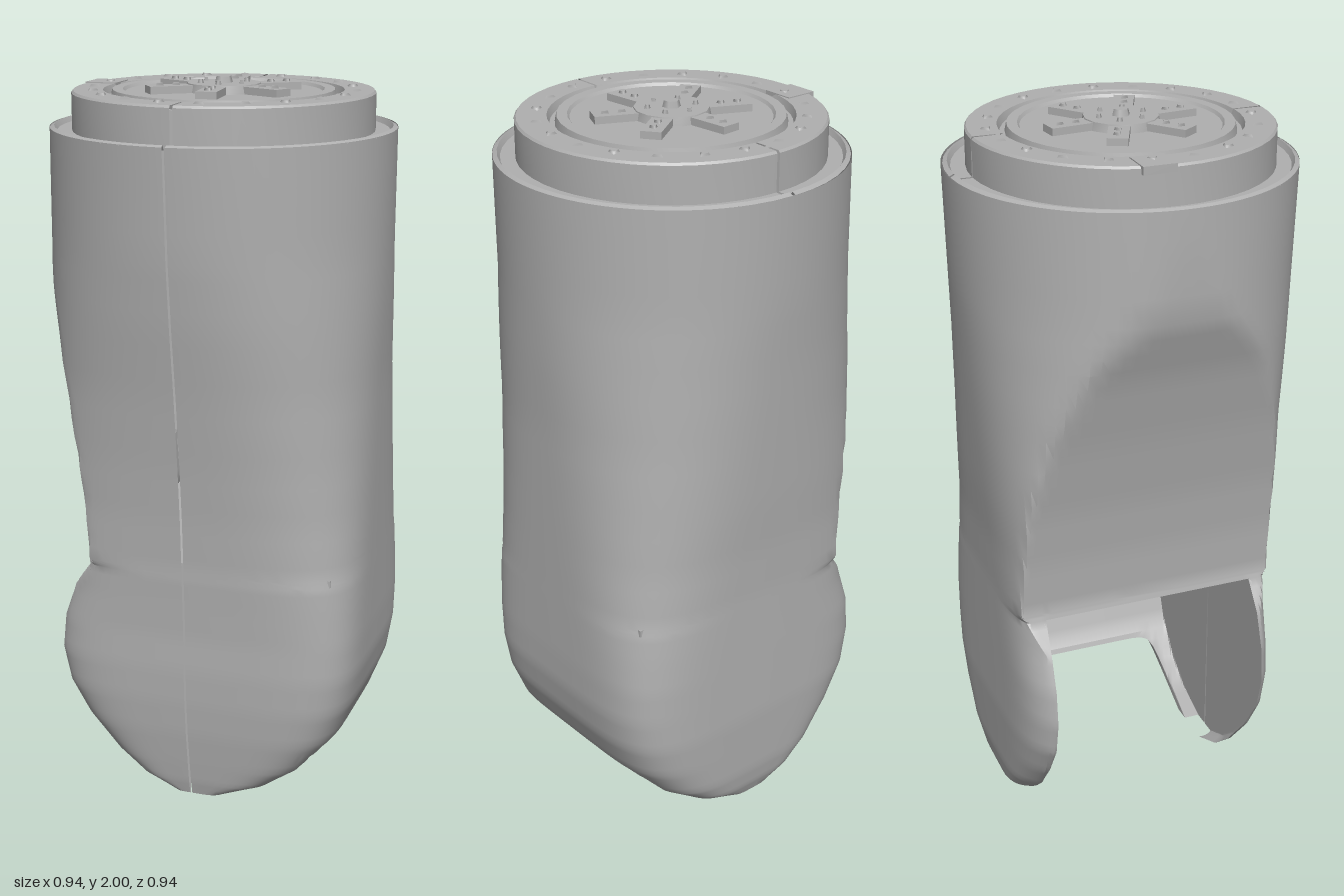
import * as THREE from 'three';
import { toCreasedNormals } from 'three/addons/utils/BufferGeometryUtils.js';

const grey = new THREE.MeshStandardMaterial({ color: 0xb0b0b0, side: THREE.DoubleSide });
grey.name = 'plain grey';

// Cross-sections: height, cut on the -x side, -x, +x, front and back half sizes, squareness
const SECTIONS = [
  [1.87, -0.475, 0.47, 0.47, 0.47, 0.475, 2],
  [1.57, -0.46, 0.47, 0.467, 0.45, 0.465, 2.1],
  [1.4, -0.4, 0.465, 0.465, 0.43, 0.455, 2.3],
  [1.2, -0.35, 0.46, 0.46, 0.4, 0.445, 2.6],
  [1.0, -0.31, 0.46, 0.46, 0.375, 0.435, 3],
  [0.85, -0.29, 0.45, 0.46, 0.36, 0.425, 3.4],
  [0.7, -0.28, 0.44, 0.46, 0.35, 0.42, 4],
  [0.68, -0.285, 0.38, 0.46, 0.35, 0.42, 4.2],
  [0.6, -0.345, 0.39, 0.46, 0.345, 0.42, 4.6],
  [0.5, -0.38, 0.42, 0.46, 0.34, 0.42, 5],
  [0.4, -0.39, 0.43, 0.457, 0.34, 0.42, 5],
  [0.3, -0.37, 0.41, 0.44, 0.335, 0.42, 5],
  [0.2, -0.31, 0.35, 0.4, 0.325, 0.415, 5],
  [0.1, -0.23, 0.26, 0.32, 0.31, 0.41, 5],
  [0.04, -0.16, 0.18, 0.23, 0.3, 0.4, 5],
  [0, -0.06, 0.07, 0.11, 0.29, 0.385, 5],
];
const STEPS = 4;
const OPEN = 38; // half angle, in degrees, of the openings on either side

// Angles run once around; the doubled ones at 90 and 270 leave the seam open
const ANGLES = [];
for (let a = -38; a <= 322; a += 4) {
  if (a === 90 || a === 270) ANGLES.push([a, 1], [a, -1]);
  else ANGLES.push([a, 0]);
  if (a === 88 || a === 268 || a === 266) {
    const s = a + 2;
    if (s === 90) ANGLES.push([90, 1], [90, -1]);
    if (s === 270) ANGLES.push([270, -1], [270, 1]);
  }
}
ANGLES.sort((p, q) => p[0] - q[0]);

function sectionRows() {
  const rows = [];
  for (let i = 0; i < SECTIONS.length - 1; i++) {
    for (let k = 0; k < STEPS; k++) {
      rows.push(SECTIONS[i].map((v, j) => THREE.MathUtils.lerp(v, SECTIONS[i + 1][j], k / STEPS)));
    }
  }
  rows.push(SECTIONS[SECTIONS.length - 1]);
  return rows;
}

function sizeAt(rows, y) {
  return rows.find((r) => r[0] <= y) || rows[rows.length - 1];
}

function skinPoint(rows, row, [deg, seam], inner) {
  // The wall on +x ends in an arch instead of reaching the ground
  const off = deg > 180 ? deg - 360 : deg;
  const arch = Math.abs(off) < OPEN ? 0.17 * (1 - Math.pow(off / OPEN, 4)) : 0;
  const y = Math.max(row[0], arch);
  const [, cut, left, right, front, back, n] = y > row[0] ? sizeAt(rows, y) : row;
  const c = Math.cos(THREE.MathUtils.degToRad(deg)), s = Math.sin(THREE.MathUtils.degToRad(deg));
  const px = Math.pow(Math.abs(c), 2 / n), pz = Math.pow(Math.abs(s), 2 / n);
  let x = c > 0 ? right * px : Math.max(cut, -left * px);
  let z = s > 0 ? front * pz : -back * pz;
  if (seam) x = seam * 0.003;
  if (inner) {
    x = Math.min(x, Math.max(right - 0.06, 0.04));
    z = THREE.MathUtils.clamp(z, -0.34, 0.285);
  }
  return [x, y, z];
}

function gridGeometry(grid, skip) {
  const pos = [], index = [], w = grid[0].length;
  grid.forEach((r) => r.forEach((p) => pos.push(...p)));
  for (let i = 0; i < grid.length - 1; i++) {
    for (let j = 0; j < w - 1; j++) {
      if (skip(i, j)) continue;
      const a = i * w + j, b = a + w;
      index.push(a, a + 1, b, a + 1, b + 1, b);
    }
  }
  const g = new THREE.BufferGeometry();
  g.setAttribute('position', new THREE.Float32BufferAttribute(pos, 3));
  g.setIndex(index);
  return toCreasedNormals(g, 0.5);
}

function add(parent, name, geometry, x = 0, y = 0, z = 0) {
  const m = new THREE.Mesh(geometry, grey);
  m.name = name;
  m.position.set(x, y, z);
  parent.add(m);
  return m;
}

function lathe(points, segments, start = 0, length = Math.PI * 2) {
  return toCreasedNormals(new THREE.LatheGeometry(points.map((p) => new THREE.Vector2(...p)), segments, start, length), 0.5);
}

export function createModel() {
  const model = new THREE.Group();
  model.name = 'limbSegment';
  const rows = sectionRows();
  const isSeam = (j) => ANGLES[j][1] !== 0 && ANGLES[j + 1][1] !== 0;
  const isOpen = (j) => ANGLES[j][0] >= 180 - OPEN && ANGLES[j + 1][0] <= 180 + OPEN;

  // Outer shell, open between the cheeks on the -x side
  const outer = rows.map((r) => ANGLES.map((a) => skinPoint(rows, r, a, false)));
  add(model, 'outerShell', gridGeometry(outer, (i, j) => isSeam(j) || (rows[i][0] <= 0.681 && isOpen(j))));

  // Inner faces of the cheeks and the wall
  const low = rows.filter((r) => r[0] <= 0.681);
  const inner = low.map((r) => ANGLES.map((a) => skinPoint(rows, r, a, true)));
  add(model, 'innerShell', gridGeometry(inner, (i, j) => isSeam(j) || isOpen(j)));

  // Rims joining the inner and outer shells: along the bottom and up the cheek edges
  add(model, 'bottomRim', gridGeometry([outer[outer.length - 1], inner[inner.length - 1]], (i, j) => isSeam(j) || isOpen(j)));
  const first = rows.length - low.length;
  for (const edge of [180 - OPEN, 180 + OPEN]) {
    const j = ANGLES.findIndex((a) => a[0] === edge);
    const strip = low.map((r, i) => [outer[first + i][j], inner[i][j]]);
    add(model, 'cheekRim', gridGeometry(strip, () => false));
  }
  add(model, 'cavityCeiling', new THREE.BoxGeometry(0.68, 0.02, 0.64), 0.06, 0.692, -0.03);

  // Shoulder and collar in two halves, split by the seam
  for (const start of [0, Math.PI]) {
    add(model, 'collarHalf', lathe([
      [0.47, 1.868], [0.458, 1.874], [0.45, 1.86], [0.41, 1.86], [0.41, 1.96],
      [0.405, 1.966], [0.325, 1.966], [0.318, 1.945], [0.3, 1.945],
    ], 24, start + 0.01, Math.PI - 0.02));
  }
  // End disc with a raised ring and a shallow centre
  add(model, 'endDisc', lathe([
    [0.33, 1.944], [0.305, 1.944], [0.3, 1.968], [0.272, 1.968], [0.266, 1.96], [0, 1.96],
  ], 36));

  // Six-armed hub
  const hub = new THREE.Group();
  hub.name = 'hub';
  add(hub, 'hubDisc', toCreasedNormals(new THREE.CylinderGeometry(0.1, 0.105, 0.026, 14), 0.5), 0, 1.97, 0);
  for (let k = 0; k < 6; k++) {
    const arm = new THREE.Group();
    arm.name = 'hubArm';
    arm.rotation.y = -THREE.MathUtils.degToRad(24 + 60 * k);
    add(arm, 'armBar', new THREE.BoxGeometry(0.13, 0.022, 0.056), 0.147, 1.969, 0);
    add(arm, 'armStud', new THREE.CylinderGeometry(0.01, 0.013, 0.008, 3), 0.135, 1.983, 0);
    add(arm, 'armStud', new THREE.CylinderGeometry(0.01, 0.013, 0.008, 3), 0.18, 1.983, 0);
    add(arm, 'hubStud', new THREE.CylinderGeometry(0.006, 0.009, 0.012, 4), 0.065, 1.987, 0);
    hub.add(arm);
  }
  add(hub, 'centrePin', new THREE.CylinderGeometry(0.02, 0.025, 0.018, 6), 0, 1.991, 0);
  model.add(hub);

  // Small three-sided studs around the collar
  for (let k = 0; k < 20; k++) {
    const a = THREE.MathUtils.degToRad(18 * k + 9);
    const stud = add(model, 'collarStud', new THREE.CylinderGeometry(0.012, 0.017, 0.006, 3),
      Math.cos(a) * 0.355, 1.969, Math.sin(a) * 0.355);
    stud.rotation.y = k * 1.3;
  }

  // Locking tab on the -x edge of the collar
  add(model, 'collarTab', new THREE.BoxGeometry(0.09, 0.022, 0.09), -0.365, 1.958, -0.06);
  return model;
}
